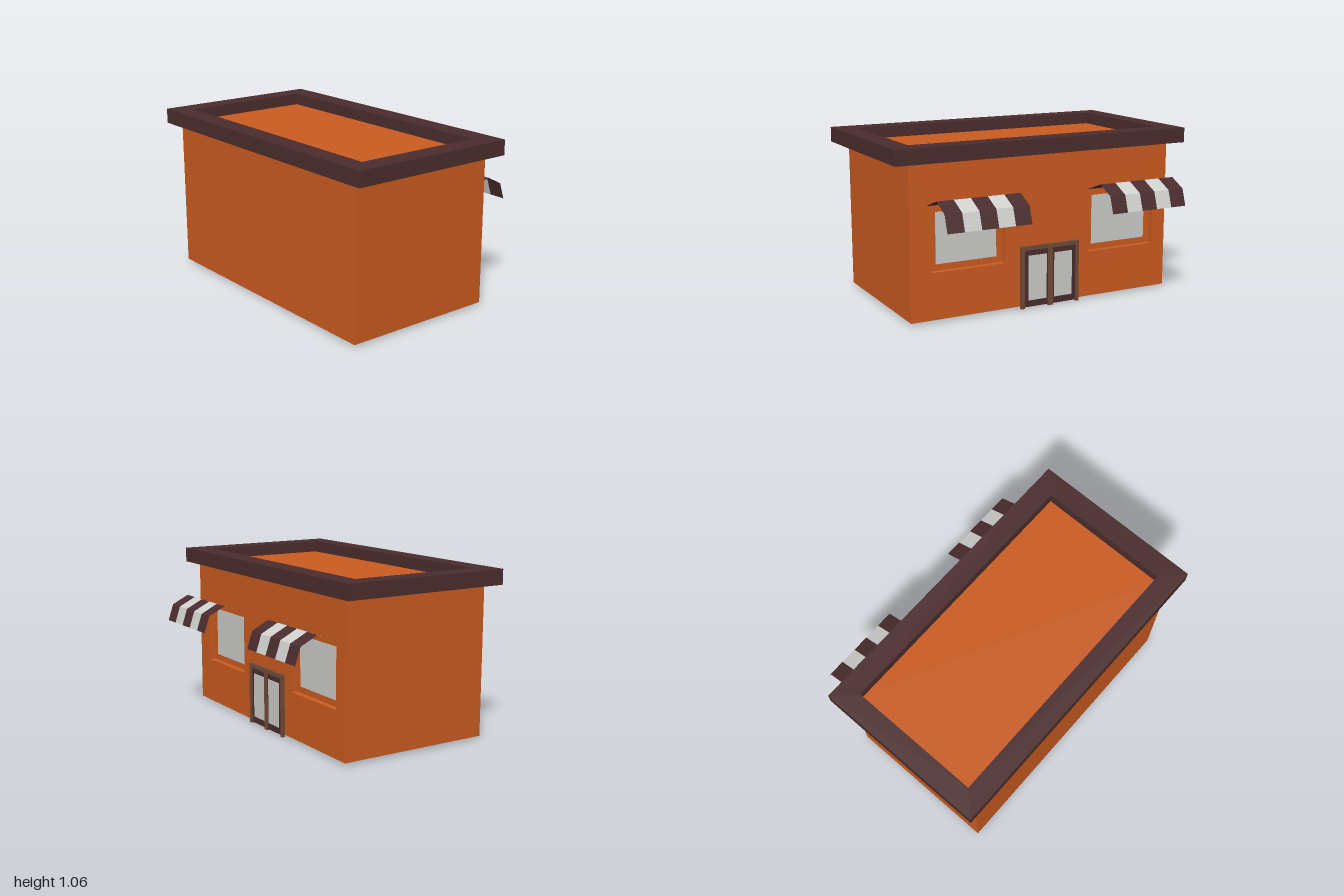
import * as THREE from 'three';

const mat = (name, color, side = THREE.FrontSide) => {
  const m = new THREE.MeshStandardMaterial({ color, side });
  m.name = name;
  return m;
};

// Rectangle path from two corners
function rect(Type, x0, y0, x1, y1) {
  const p = new Type();
  p.moveTo(x0, y0);
  p.lineTo(x1, y0);
  p.lineTo(x1, y1);
  p.lineTo(x0, y1);
  p.closePath();
  return p;
}

export function createModel() {
  const orange = mat('orange wall', 0xc85a20);
  const maroon = mat('dark maroon', 0x4a2c2d);
  const brown = mat('brown frame', 0x704b38);
  const pale = mat('pale glass', 0xcacbc8);
  const maroonCloth = mat('maroon cloth', 0x4a2c2d, THREE.DoubleSide);
  const paleCloth = mat('pale cloth', 0xd0d1ce, THREE.DoubleSide);

  const model = new THREE.Group();
  model.name = 'shop';

  const add = (name, geometry, material, parent = model) => {
    const mesh = new THREE.Mesh(geometry, material);
    mesh.name = name;
    parent.add(mesh);
    return mesh;
  };
  // Box given by its extents
  const box = (name, material, [x0, x1], [y0, y1], [z0, z1], parent) => {
    const mesh = add(name, new THREE.BoxGeometry(x1 - x0, y1 - y0, z1 - z0), material, parent);
    mesh.position.set((x0 + x1) / 2, (y0 + y1) / 2, (z0 + z1) / 2);
    return mesh;
  };

  // Building body and the flat roof inside the parapet
  const wallX = 0.38, recess = 0.04;
  box('body', orange, [-0.62, wallX - recess], [0.015, 0.965], [-0.9, 0.9]);
  box('roof', orange, [-0.56, 0.32], [0.96, 0.985], [-0.88, 0.88]);

  // Street wall with two window openings
  const windows = [0.52, -0.56];
  const wall = rect(THREE.Shape, -0.9, 0.015, 0.9, 0.965);
  for (const z of windows) wall.holes.push(rect(THREE.Path, -z - 0.245, 0.305, -z + 0.245, 0.7));
  const wallGeo = new THREE.ExtrudeGeometry(wall, { depth: recess, bevelEnabled: false });
  wallGeo.rotateY(Math.PI / 2);
  add('streetWall', wallGeo, orange).position.x = wallX - recess;

  // Parapet ring
  const ring = rect(THREE.Shape, -0.675, -1, 0.435, 1);
  ring.holes.push(rect(THREE.Path, -0.545, -0.865, 0.3, 0.87));
  const ringGeo = new THREE.ExtrudeGeometry(ring, { depth: 0.095, bevelEnabled: false });
  ringGeo.rotateX(-Math.PI / 2);
  add('parapet', ringGeo, maroon).position.y = 0.965;

  // Window panes and striped awnings
  const profile = [[0.38, 0.71], [0.53, 0.765], [0.64, 0.71], [0.675, 0.605]];
  const stripe = 0.108;
  for (const z of windows) {
    box('windowPane', pale, [wallX - recess, wallX - recess + 0.004], [0.345, 0.66], [z - 0.2, z + 0.2]);
    const awning = new THREE.Group();
    awning.name = 'awning';
    awning.position.z = z + (z > 0 ? 0.003 : -0.014);
    model.add(awning);
    for (let i = 0; i < 5; i++) {
      const z0 = (i - 2.5) * stripe, z1 = z0 + stripe, pos = [];
      for (let k = 0; k < 3; k++) {
        const [ax, ay] = profile[k], [bx, by] = profile[k + 1];
        pos.push(ax, ay, z0, ax, ay, z1, bx, by, z1, ax, ay, z0, bx, by, z1, bx, by, z0);
      }
      const geo = new THREE.BufferGeometry();
      geo.setAttribute('position', new THREE.Float32BufferAttribute(pos, 3));
      geo.computeVertexNormals();
      add('awningStripe', geo, i % 2 ? paleCloth : maroonCloth, awning);
    }
  }

  // Double door: frame bars, leaves and glass
  const door = new THREE.Group();
  door.name = 'door';
  model.add(door);
  const frameX = [wallX, 0.4];
  box('doorFrameTop', brown, frameX, [0.37, 0.395], [-0.235, 0.175], door);
  for (const z of [[0.15, 0.175], [-0.048, -0.015], [-0.235, -0.214]]) {
    box('doorFramePost', brown, frameX, [0, 0.37], z, door);
  }
  const leaves = [
    { leaf: [-0.015, 0.15], glass: [-0.005, 0.123] },
    { leaf: [-0.214, -0.048], glass: [-0.187, -0.06] },
  ];
  for (const { leaf, glass } of leaves) {
    box('doorLeaf', maroon, [wallX, 0.393], [0.008, 0.37], leaf, door);
    box('doorGlass', pale, [0.391, 0.396], [0.05, 0.335], glass, door);
  }
  return model;
}
